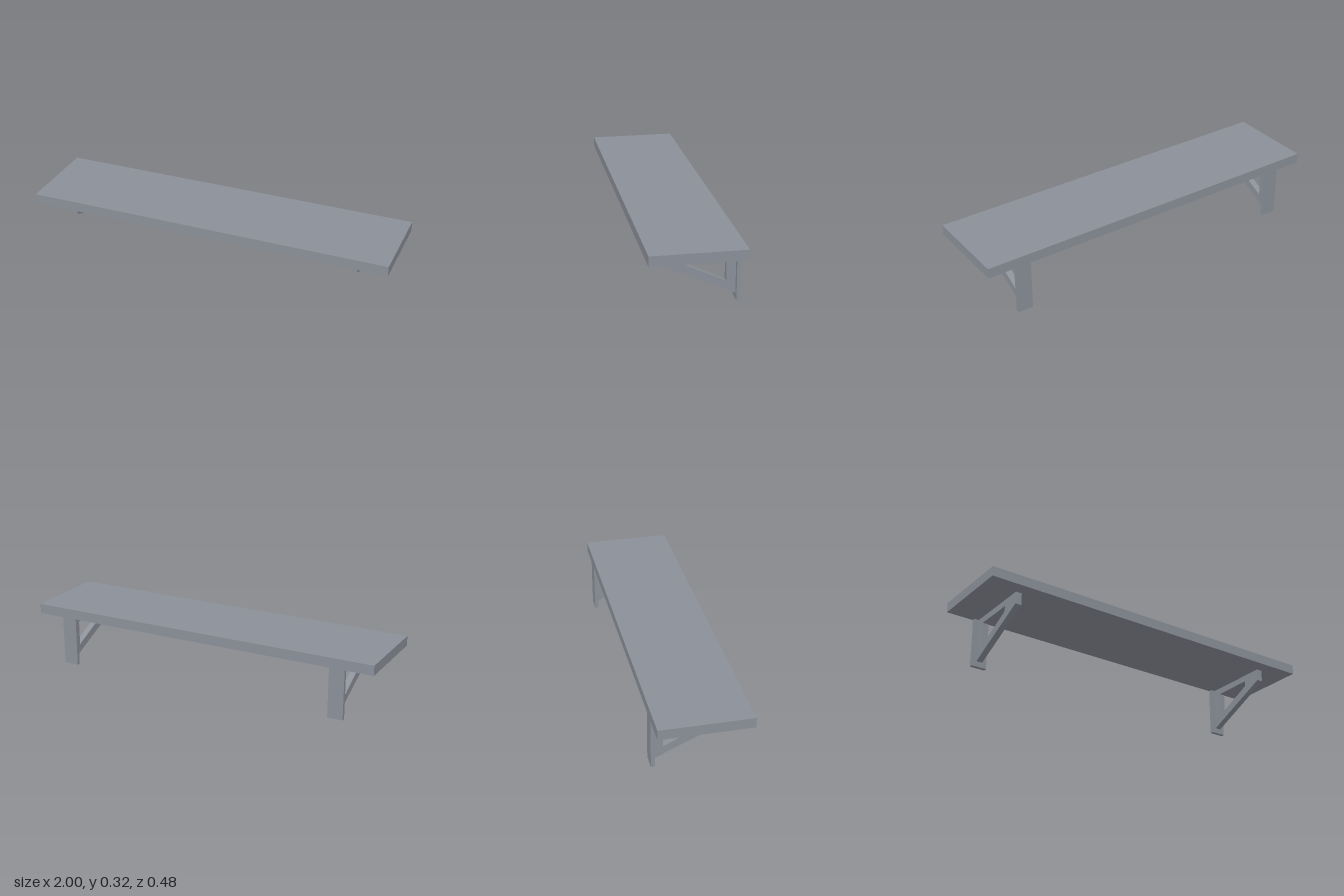
import * as THREE from 'three';

export function createModel() {
  const grey = new THREE.MeshStandardMaterial({ color: 0x8b9099 });
  grey.name = 'grey';
  const group = new THREE.Group();
  group.name = 'wallShelf';

  const add = (parent, name, geometry, x, y, z) => {
    const mesh = new THREE.Mesh(geometry, grey);
    mesh.name = name;
    mesh.position.set(x, y, z);
    parent.add(mesh);
  };
  const points = (list) => list.map(([z, y]) => new THREE.Vector2(z, y));

  // Board
  add(group, 'board', new THREE.BoxGeometry(2, 0.054, 0.48), 0, 0.298, 0);

  // Triangular brace with a cut-out, drawn in z and y, then turned to face sideways
  const braceWidth = 0.034;
  const shape = new THREE.Shape(points([[0.164, 0.271], [-0.22, 0.271], [-0.22, 0.031], [0.164, 0.205]]));
  shape.holes.push(new THREE.Path(points([[0.056, 0.235], [0.056, 0.206], [-0.173, 0.098], [-0.173, 0.235]])));
  const braceGeometry = new THREE.ExtrudeGeometry(shape, { depth: braceWidth, bevelEnabled: false });
  braceGeometry.translate(0, 0, -braceWidth / 2).rotateY(-Math.PI / 2);
  const plateGeometry = new THREE.BoxGeometry(0.084, 0.271, 0.02);

  // Brackets: wall plate and brace on each side
  for (const [side, name] of [[1, 'leftBracket'], [-1, 'rightBracket']]) {
    const bracket = new THREE.Group();
    bracket.name = name;
    bracket.position.x = side * 0.805;
    add(bracket, 'wallPlate', plateGeometry, 0, 0.1355, -0.23);
    add(bracket, 'brace', braceGeometry, 0, 0, 0);
    group.add(bracket);
  }
  return group;
}
